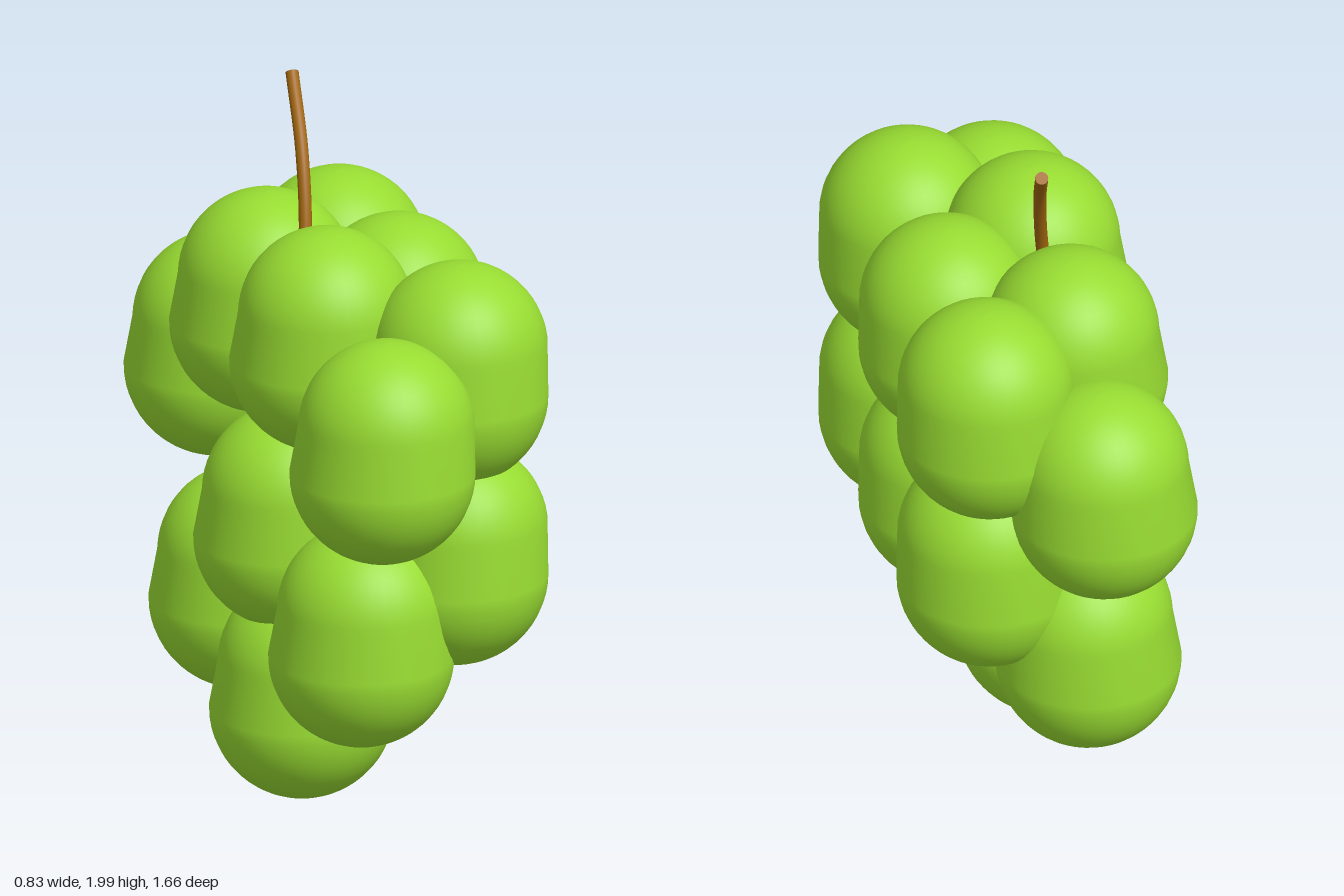
import * as THREE from 'three';

// Plump grape: round bottom, slightly narrower round top that leans a touch.
function grapeGeometry() {
  const profile = [];
  const steps = 14, low = 0.255, high = 0.242;
  for (let i = 0; i <= steps; i++) {
    const a = (i / steps) * Math.PI / 2;
    profile.push(new THREE.Vector2(low * Math.sin(a), -0.06 - low * Math.cos(a)));
  }
  for (let i = 0; i <= steps; i++) {
    const a = (i / steps) * Math.PI / 2;
    profile.push(new THREE.Vector2(high * Math.cos(a), 0.073 + high * Math.sin(a)));
  }
  const geo = new THREE.LatheGeometry(profile, 40);
  const pos = geo.attributes.position;
  for (let i = 0; i < pos.count; i++) {
    const lean = 0.009 * THREE.MathUtils.smoothstep(pos.getY(i), -0.06, 0.1);
    pos.setX(i, pos.getX(i) + lean);
    pos.setZ(i, pos.getZ(i) + lean);
  }
  return geo;
}

export function createModel() {
  const model = new THREE.Group();
  const green = new THREE.MeshStandardMaterial({ color: 0x98dc32 });
  const brown = new THREE.MeshStandardMaterial({ color: 0xa0660f });

  // Grape centres, by layer
  const layers = {
    leftGrape: [
      [0.16, 1.325, 0.425], [0.16, 1.325, 0], [0.16, 1.325, -0.41],
      [0.16, 0.805, 0.425], [0.16, 0.815, 0], [0.14, 0.77, -0.33],
    ],
    rightGrape: [
      [-0.12, 1.185, 0.572], [-0.12, 1.375, 0.155], [-0.12, 1.35, -0.262], [-0.12, 1.12, -0.577],
      [-0.12, 0.605, 0.425], [-0.165, 0.82, 0.01], [-0.12, 0.5, -0.405],
    ],
    bottomGrape: [[-0.12, 0.32, 0.015]],
  };
  const geo = grapeGeometry();
  for (const [name, centres] of Object.entries(layers)) {
    centres.forEach((c, i) => {
      const grape = new THREE.Mesh(geo, green);
      grape.name = `${name}${i + 1}`;
      grape.position.set(...c);
      model.add(grape);
    });
  }

  // Curved stem with a flat cut end
  const path = new THREE.CatmullRomCurve3([
    [-0.1, 1.45, -0.03], [-0.078, 1.62, -0.06], [-0.052, 1.81, -0.145], [-0.018, 1.985, -0.292],
  ].map(p => new THREE.Vector3(...p)));
  const stem = new THREE.Group();
  stem.name = 'stem';
  const stalk = new THREE.Mesh(new THREE.TubeGeometry(path, 24, 0.018, 14), brown);
  stalk.name = 'stalk';
  const cut = new THREE.Mesh(new THREE.CircleGeometry(0.018, 14), brown);
  cut.name = 'stalkEnd';
  cut.position.copy(path.getPoint(1));
  cut.quaternion.setFromUnitVectors(new THREE.Vector3(0, 0, 1), path.getTangent(1));
  stem.add(stalk, cut);
  model.add(stem);

  return model;
}
